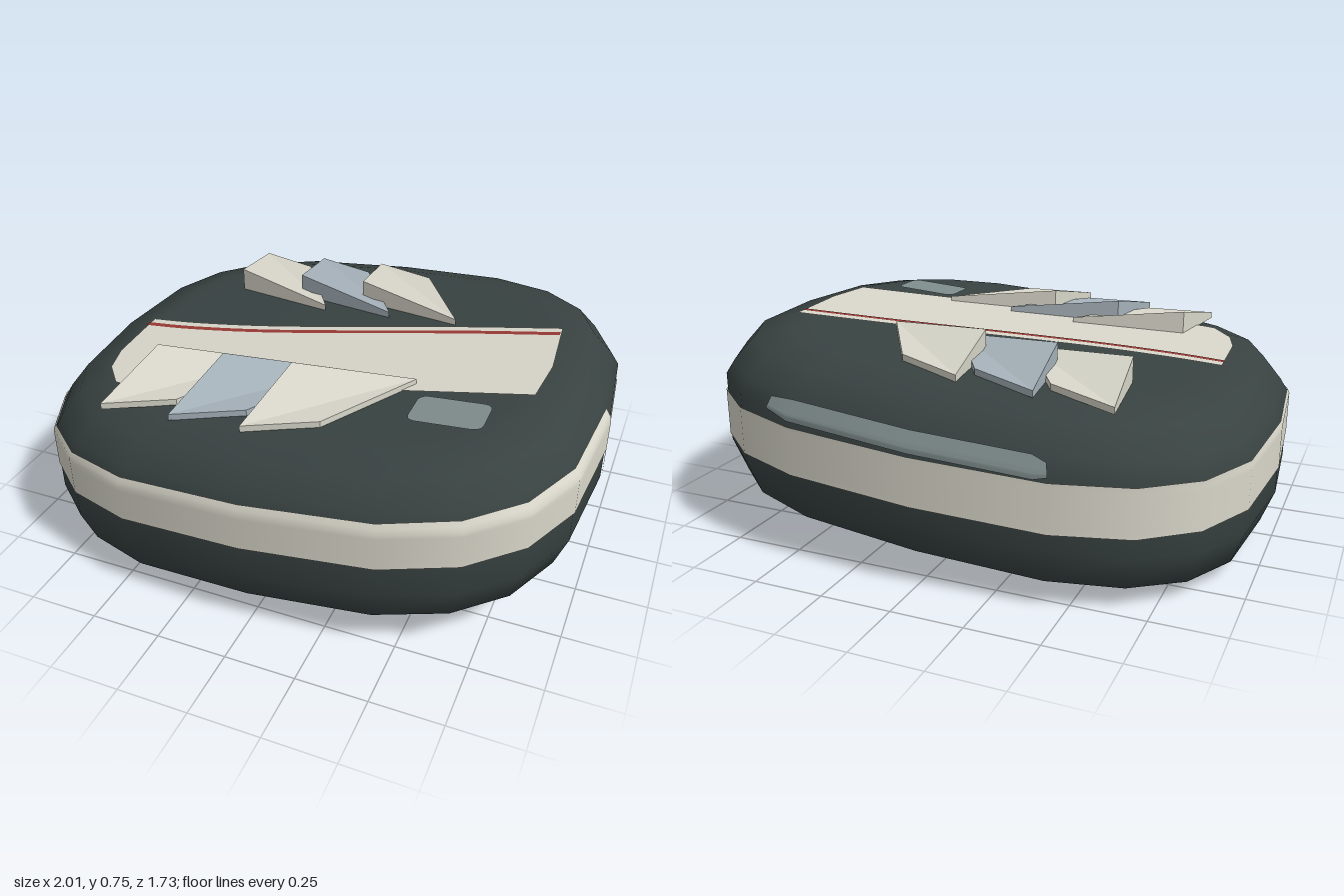
import * as THREE from 'three';
import { toCreasedNormals } from 'three/addons/utils/BufferGeometryUtils.js';

const makeMaterial = (name, color, side = THREE.FrontSide) => {
  const m = new THREE.MeshStandardMaterial({ color, side });
  m.name = name;
  return m;
};

// The whole body leans: height rises steadily towards +x
const LIFT = 0.36, SLOPE = 0.075;
const lean = new THREE.Matrix4().set(1, 0, 0, 0, SLOPE, 1, 0, LIFT, 0, 0, 1, 0, 0, 0, 0, 1);

// Plan outline: a 20-sided superellipse, t = 0..20 from +x through +z
const SIDES = 20, DEPTH = 0.86, TOP = 0.298, BOTTOM = -0.3;
const power = v => Math.sign(v) * Math.pow(Math.abs(v), 0.68);
function corner(i) {
  const a = (i / SIDES) * Math.PI * 2;
  return new THREE.Vector2(power(Math.cos(a)), power(Math.sin(a)) * DEPTH);
}
const outline = t => corner(Math.floor(t)).lerp(corner(Math.floor(t) + 1), t % 1);

// Side profile as [scale, height], from the bottom centre to the top centre
const PROFILE = [[0, BOTTOM], [0.72, BOTTOM], [0.79, -0.297], [0.955, -0.24], [1, -0.12],
  [1, 0.13], [0.97, 0.18], [0.9, 0.265], [0.78, 0.297], [0.72, TOP], [0, TOP]];
function scaleAt(y) {
  for (let i = 3; i < 9; i++) {
    const [s0, y0] = PROFILE[i - 1], [s1, y1] = PROFILE[i];
    if (y <= y1) return s0 + (s1 - s0) * (y - y0) / (y1 - y0);
  }
  return PROFILE[8][0];
}

// Skin over a grid: each t gets a column of [scale, height] pairs
function skin(ts, column) {
  const positions = [], indices = [];
  const rows = column(ts[0]).length;
  ts.forEach((t, i) => {
    const p = outline(t);
    column(t).forEach(([s, y], j) => {
      positions.push(p.x * s, y, p.y * s);
      if (i === ts.length - 1 || j === rows - 1) return;
      const a = i * rows + j, b = a + rows;
      indices.push(a, a + 1, b, a + 1, b + 1, b);
    });
  });
  const g = new THREE.BufferGeometry();
  g.setAttribute('position', new THREE.Float32BufferAttribute(positions, 3));
  g.setIndex(indices);
  g.applyMatrix4(lean);
  return toCreasedNormals(g, 1.1);
}

// Painted column hugging the side between two heights
function painted(low, high, gap, steps = 10) {
  return Array.from({ length: steps + 1 }, (_, i) => {
    const y = low + (high - low) * i / steps;
    return [scaleAt(y) + gap, y];
  });
}

// Flat painted face on the top (up = 1) or the underside (up = -1), from [x, z] points
function decal(points, up, gap) {
  const g = new THREE.ShapeGeometry(new THREE.Shape(points.map(([x, z]) => new THREE.Vector2(x, -up * z))));
  g.rotateX(-up * Math.PI / 2);
  g.translate(0, (up > 0 ? TOP : BOTTOM) + up * gap, 0);
  g.applyMatrix4(lean);
  g.computeVertexNormals();
  return g;
}

// Rounded rectangle as [x, z] points
function roundedRect(cx, cz, hw, hd, r) {
  const pts = [];
  for (let i = 0; i < 16; i++) {
    const q = Math.floor(i / 4), a = (q + (i % 4) / 3) * Math.PI / 2;
    const sx = q === 0 || q === 3 ? 1 : -1, sz = q < 2 ? 1 : -1;
    pts.push([cx + sx * (hw - r) + r * Math.cos(a), cz + sz * (hd - r) + r * Math.sin(a)]);
  }
  return pts;
}

// Faceted blade: a thin rhombus with one raised corner, folded along its diagonal
function blade(dx, mirror) {
  const base = [[-0.56, 0.34], [-0.15, 0.23], [-0.36, 0.57], [-0.6, 0.665]];
  const v = [];
  for (const y of [0.297, 0.32]) base.forEach(([x, z], i) =>
    v.push([x + dx, y === 0.32 && i === 0 ? 0.386 : y, z * mirror]));
  const faces = [[4, 7, 5], [5, 7, 6], [0, 1, 3], [1, 2, 3]];
  for (let i = 0; i < 4; i++) {
    const n = (i + 1) % 4;
    faces.push([i, i + 4, n], [n, i + 4, n + 4]);
  }
  const positions = faces.flatMap(f => (mirror > 0 ? f : [f[0], f[2], f[1]]).flatMap(k => v[k]));
  const g = new THREE.BufferGeometry();
  g.setAttribute('position', new THREE.Float32BufferAttribute(positions, 3));
  g.applyMatrix4(lean);
  g.computeVertexNormals();
  return g;
}

export function createModel() {
  const model = new THREE.Group();
  model.name = 'leaningPuck';
  const dark = makeMaterial('dark slate', 0x384241);
  const cream = makeMaterial('cream', 0xd9d7ca, THREE.DoubleSide);
  const steel = makeMaterial('steel blue', 0xa6b2ba, THREE.DoubleSide);
  const glass = makeMaterial('grey glass', 0x7f8d8c, THREE.DoubleSide);
  const red = makeMaterial('dark red', 0x983a34, THREE.DoubleSide);
  const add = (name, geometry, material) => {
    const mesh = new THREE.Mesh(geometry, material);
    mesh.name = name;
    model.add(mesh);
  };

  // Body
  const around = Array.from({ length: SIDES + 1 }, (_, i) => i);
  add('body', skin(around, () => PROFILE), dark);

  // Side band, sinking as it goes round and ending in a step at +x
  const sink = t => t < 10 ? -0.0025 * t : -0.025 - 0.009 * (t - 10);
  add('sideBand', skin(around, t => painted(sink(t), sink(t) + 0.168, 0.005)), cream);

  // Rear window strip above the band
  add('rearWindow', skin([14, 14.1, 15, 16, 16.4], t => {
    const inset = t === 14 || t === 16.4 ? 0.015 : 0;
    return painted(0.11 + inset, 0.18 - inset, 0.007);
  }), glass);

  // Stripe, red line and small window, on the top and the underside
  const edge = new THREE.SplineCurve([[-0.78, 0.01], [-0.6, 0], [-0.33, -0.04], [0, -0.115],
    [0.4, -0.215], [0.76, -0.292]].map(p => new THREE.Vector2(...p))).getPoints(24).map(p => [p.x, p.y]);
  const stripe = [...edge, [0.785, 0], [0.77, 0.2], [0.35, 0.285], [-0.1, 0.385], [-0.52, 0.48],
    [-0.6, 0.5], [-0.65, 0.495], [-0.73, 0.4], [-0.765, 0.28]];
  const shifted = d => edge.map(([x, z]) => [x, z + d]);
  const line = [...shifted(0.036), ...shifted(0.06).reverse()];
  for (const [label, up] of [['top', 1], ['bottom', -1]]) {
    add(label + 'Stripe', decal(stripe, up, 0.004), cream);
    add(label + 'RedLine', decal(line, up, 0.006), red);
    add(label + 'Window', decal(roundedRect(0.535, 0.38, 0.125, 0.08, 0.03), up, 0.005), glass);
  }

  // Two mirrored rows of three blades
  for (const [row, mirror] of [['front', 1], ['back', -1]]) {
    for (let i = 0; i < 3; i++) {
      add(`${row}Blade${i + 1}`, blade(i * 0.262, mirror), i === 1 ? steel : cream);
    }
  }
  return model;
}
